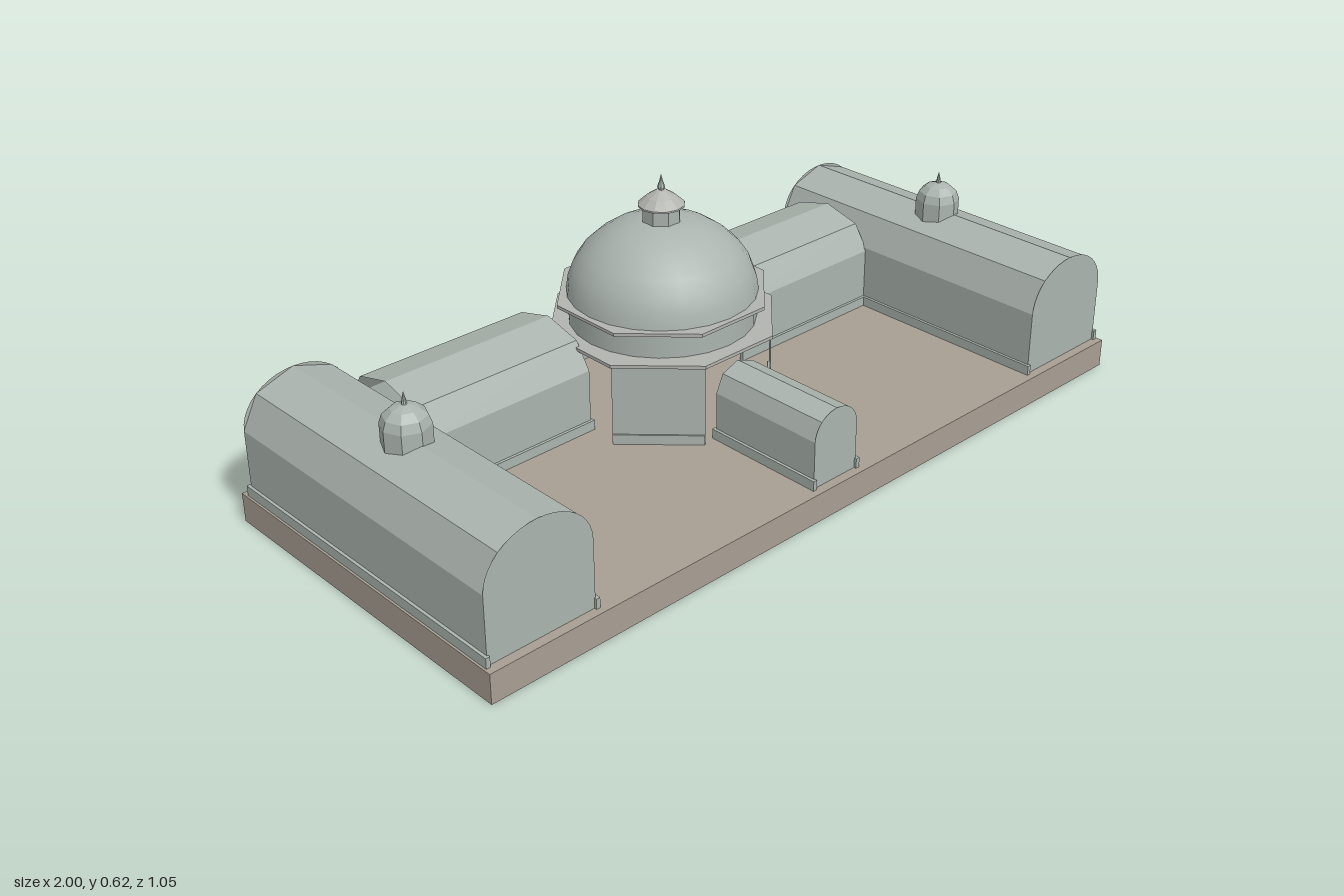
import * as THREE from 'three';

const mat = (color, flatShading = true) =>
  new THREE.MeshStandardMaterial({ color, flatShading, side: THREE.DoubleSide });
const stone = mat(0xabb4ae), smoothStone = mat(0xabb4ae, false);
const trim = mat(0xb2b4af), ground = mat(0xa89f93);
const FLOOR = 0.07, FOOT = 0.045;

function add(parent, name, geometry, material, x = 0, y = 0, z = 0) {
  const mesh = new THREE.Mesh(geometry, material);
  mesh.name = name;
  mesh.position.set(x, y, z);
  parent.add(mesh);
  return mesh;
}

// Points of an arch from the right foot over the crown to the left foot
function archPoints(halfWidth, foot, spring, top, steps) {
  const points = [new THREE.Vector2(halfWidth, foot)];
  for (let i = 0; i <= steps; i++) {
    const a = (Math.PI * i) / steps;
    points.push(new THREE.Vector2(halfWidth * Math.cos(a), spring + (top - spring) * Math.sin(a)));
  }
  points.push(new THREE.Vector2(-halfWidth, foot));
  return points;
}

// Hollow vaulted hall along z: faceted shell, rounded end walls, low plinths
function vaultHall(name, halfWidth, length, spring, top, endWalls) {
  const hall = new THREE.Group();
  hall.name = name;
  const profile = archPoints(halfWidth, FOOT, spring, top, 4);
  const columns = profile.length;
  const shell = new THREE.PlaneGeometry(1, 1, columns - 1, 1);
  const pos = shell.attributes.position;
  for (let i = 0; i < pos.count; i++) {
    const p = profile[i % columns];
    pos.setXYZ(i, p.x, p.y, i < columns ? -length / 2 : length / 2);
  }
  shell.computeVertexNormals();
  add(hall, 'vault', shell, stone);

  const arch = new THREE.Shape(archPoints(halfWidth, FLOOR, spring, top, 20));
  for (const end of endWalls) {
    const wall = new THREE.ShapeGeometry(arch);
    if (end < 0) wall.rotateY(Math.PI);
    add(hall, 'endWall', wall, stone, 0, 0, end * length / 2);
  }
  for (const side of [-1, 1]) {
    const plinth = new THREE.BoxGeometry(0.01, 0.024, length + 0.012);
    add(hall, 'plinth', plinth, stone, side * (halfWidth + 0.002), FLOOR + 0.012, 0);
  }
  return hall;
}

// Flat eight-sided ring with a side facing the front
function octagonRing(apothem, hole, height) {
  const shape = new THREE.Shape();
  const r = apothem / Math.cos(Math.PI / 8);
  for (let i = 0; i < 8; i++) {
    const a = (i + 0.5) * Math.PI / 4;
    shape[i ? 'lineTo' : 'moveTo'](r * Math.cos(a), r * Math.sin(a));
  }
  shape.closePath();
  shape.holes.push(new THREE.Path().absarc(0, 0, hole, 0, Math.PI * 2, true));
  const g = new THREE.ExtrudeGeometry(shape, { depth: height, bevelEnabled: false, curveSegments: 12 });
  return g.rotateX(-Math.PI / 2);
}

function lathe(points, sides) {
  return new THREE.LatheGeometry(points.map(([r, y]) => new THREE.Vector2(r, y)), sides);
}

export function createModel() {
  const model = new THREE.Group();
  model.name = 'domedPavilion';
  const site = new THREE.Group();
  site.name = 'site';
  site.rotation.y = 0.0993;
  model.add(site);

  // Terrace, hollow underneath: the bottom face of the box is left out
  const terrace = new THREE.BoxGeometry(1.92, FLOOR, 0.86);
  terrace.setIndex([...terrace.index.array].filter((_, i) => i < 18 || i >= 24));
  terrace.clearGroups();
  add(site, 'terrace', terrace, ground, 0, FLOOR / 2, 0);

  // Side wings, rear galleries and roof cupolas, mirrored
  for (const side of [-1, 1]) {
    const label = side > 0 ? 'left' : 'right';
    const wing = vaultHall(label + 'Wing', 0.132, 0.815, 0.228, 0.335, [-1, 1]);
    wing.position.x = side * 0.816;
    site.add(wing);

    const gallery = vaultHall(label + 'Gallery', 0.138, 0.445, 0.22, 0.308, []);
    gallery.rotation.y = Math.PI / 2;
    gallery.position.set(side * 0.466, 0, -0.257);
    site.add(gallery);

    const cupola = lathe([[0.054, 0.315], [0.054, 0.365], [0.047, 0.385], [0.03, 0.4],
      [0.006, 0.408], [0.004, 0.42], [0, 0.437]], 8);
    add(site, label + 'Cupola', cupola, stone, side * 0.814, 0, 0);
  }

  // Entrance porch, open towards the central hall
  const porch = vaultHall('porch', 0.066, 0.3, 0.185, 0.245, [1]);
  porch.position.z = 0.257;
  site.add(porch);

  // Central octagon: open to the porch and both galleries
  const hall = new THREE.Group();
  hall.name = 'centralHall';
  hall.position.z = -0.14;
  site.add(hall);
  const apothem = 0.25, wallWidth = 2 * apothem * Math.tan(Math.PI / 8);
  for (const k of [1, 3, 4, 5, 7]) {
    const bay = new THREE.Group();
    bay.name = 'octagonBay';
    bay.rotation.y = k * Math.PI / 4;
    hall.add(bay);
    add(bay, 'wall', new THREE.PlaneGeometry(wallWidth, 0.265 - FOOT), stone, 0, (0.265 + FOOT) / 2, apothem);
    add(bay, 'plinth', new THREE.BoxGeometry(wallWidth, 0.024, 0.008), stone, 0, FLOOR + 0.012, apothem);
  }
  add(hall, 'cornice', octagonRing(0.253, 0.216, 0.008), trim, 0, 0.262, 0);
  add(hall, 'drum', new THREE.CylinderGeometry(0.218, 0.218, 0.07, 24, 1, true), smoothStone, 0, 0.3, 0);
  add(hall, 'eave', octagonRing(0.234, 0.216, 0.008), trim, 0, 0.331, 0);

  // Main dome
  const dome = lathe([[0.222, 0.335], [0.217, 0.37], [0.204, 0.405], [0.182, 0.438], [0.152, 0.466],
    [0.118, 0.489], [0.08, 0.504], [0.04, 0.51], [0, 0.511]], 24);
  add(hall, 'dome', dome, smoothStone);

  // Lantern, its flared roof and finial
  const lantern = new THREE.CylinderGeometry(0.045, 0.045, 0.042, 8, 1, true);
  add(hall, 'lantern', lantern, stone, 0, 0.526, 0).rotation.y = Math.PI / 8;
  const roof = lathe([[0, 0.545], [0.054, 0.545], [0.054, 0.549], [0.034, 0.567], [0.012, 0.581], [0, 0.584]], 12);
  add(hall, 'lanternRoof', roof, trim);
  const finial = lathe([[0.005, 0.578], [0.009, 0.59], [0.004, 0.604], [0, 0.62]], 8);
  add(hall, 'finial', finial, stone);

  return model;
}
